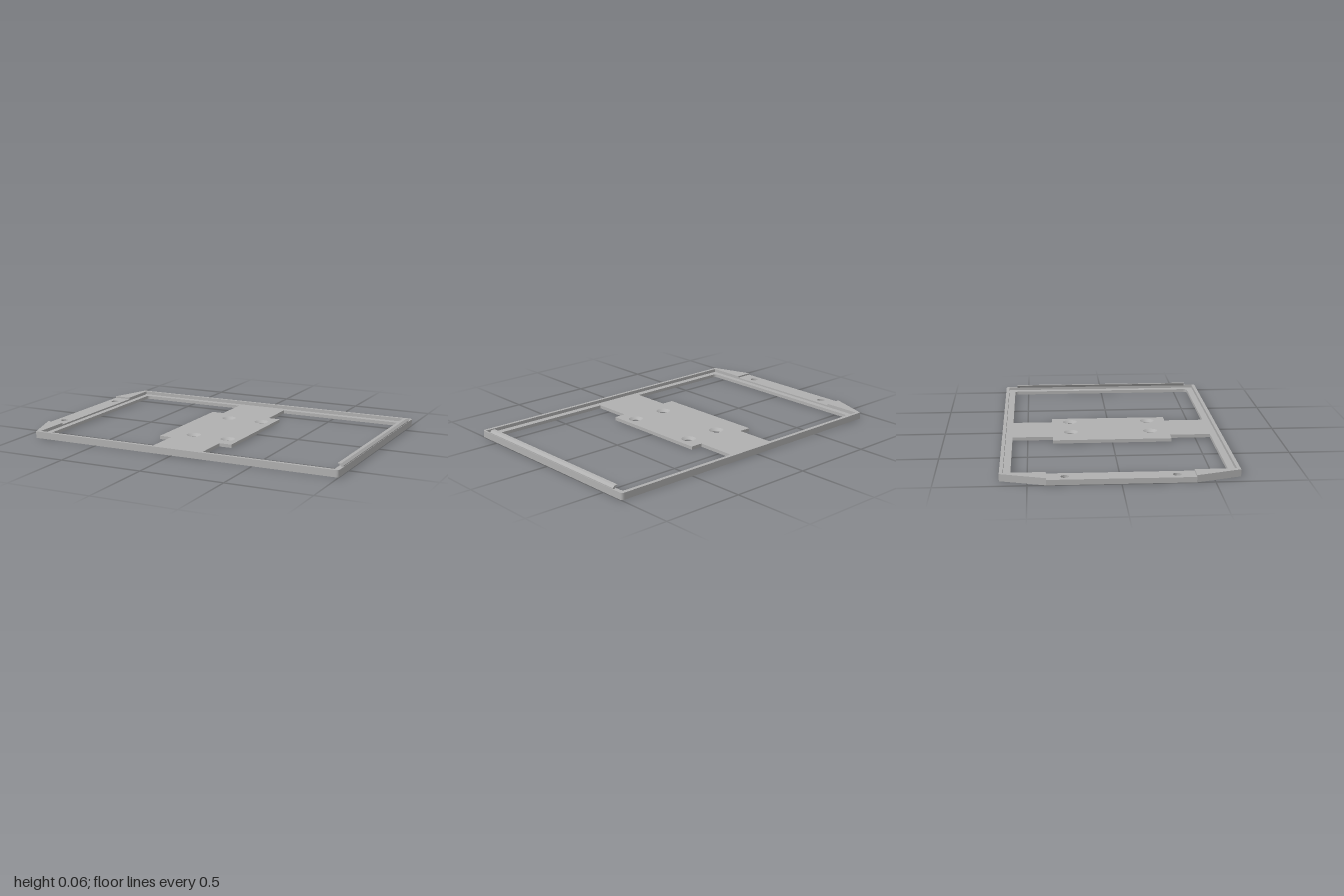
import * as THREE from 'three';

const FLOOR = 0.02, TAB = 0.03, TOP = 0.04;

// Outline with optional corner radius as third value
function trace(path, points) {
  const n = points.length;
  points.forEach(([x, y, r = 0], i) => {
    const p = new THREE.Vector2(x, y);
    const toward = (q) => new THREE.Vector2(q[0], q[1]).sub(p).setLength(r).add(p);
    const a = toward(points[(i + n - 1) % n]), b = toward(points[(i + 1) % n]);
    if (i === 0) path.moveTo(a.x, a.y); else path.lineTo(a.x, a.y);
    if (r) path.quadraticCurveTo(x, y, b.x, b.y);
  });
  path.closePath();
  return path;
}

function circle(x, y, r) {
  return new THREE.Path().absarc(x, y, r, 0, Math.PI * 2, true);
}

function hexagon(x, y, r) {
  return trace(new THREE.Path(), Array.from({ length: 6 }, (_, i) =>
    [x + r * Math.cos(i * Math.PI / 3), y + r * Math.sin(i * Math.PI / 3)]));
}

// Horizontal slab between two heights
function slab(points, holes, y0, y1) {
  const shape = trace(new THREE.Shape(), points);
  shape.holes.push(...holes);
  const g = new THREE.ExtrudeGeometry(shape, { depth: y1 - y0, bevelEnabled: false, curveSegments: 16 });
  return g.rotateX(-Math.PI / 2).translate(0, y0, 0);
}

export function createModel() {
  const model = new THREE.Group();
  model.name = 'mountingFrame';
  const grey = new THREE.MeshStandardMaterial({ color: 0xb0b0b0 });
  grey.name = 'grey';
  const add = (name, geometry) => {
    const mesh = new THREE.Mesh(geometry, grey);
    mesh.name = name;
    model.add(mesh);
    return mesh;
  };

  const outline = [[-1, -0.4], [-0.915, -0.65], [1, -0.65, 0.02], [1, 0.65, 0.02], [-0.915, 0.65], [-1, 0.4]];

  // Two windows, each stepping around the central plate
  const windowHole = (outer, neck, plate) => trace(new THREE.Path(), [
    [outer, -0.59, 0.025], [neck, -0.59], [neck, -0.35], [plate, -0.35],
    [plate, 0.35], [neck, 0.35], [neck, 0.59], [outer, 0.59, 0.025],
  ]);
  const screws = [-0.07, 0.155].flatMap((x) => [-0.24, 0.24].map((z) => [x, z]));
  const tabHoles = [[-0.947, -0.3], [-0.947, 0.3]];

  // Floor: ledge, central plate and tab underside
  add('basePlate', slab(outline, [
    windowHole(-0.86, -0.165, -0.24),
    windowHole(0.945, 0.155, 0.23),
    ...screws.map(([x, z]) => circle(x, z, 0.043)),
    ...tabHoles.map(([x, z]) => hexagon(x, z, 0.04)),
  ], 0, FLOOR));

  // Countersunk screw seats in the central plate
  const seat = [[0.043, FLOOR], [0.023, 0.006], [0.023, 0.006], [0.023, 0], [0.023, 0], [0.043, 0]]
    .map(([r, y]) => new THREE.Vector2(r, y));
  for (const [x, z] of screws) {
    add('screwSeat', new THREE.LatheGeometry(seat, 32)).position.set(x, 0, z);
  }

  // Lower rim course with the tab holes
  const recess = trace(new THREE.Path(), [[-0.895, -0.63], [0.99, -0.63], [0.99, 0.63], [-0.895, 0.63]]);
  add('lowerRim', slab(outline, [recess, ...tabHoles.map(([x, z]) => circle(x, z, 0.023))], FLOOR, TAB));

  // Upper rim course, left open over the middle of the tab
  add('upperRim', slab([
    ...outline, [-0.895, 0.4], [-0.895, 0.63], [0.99, 0.63], [0.99, -0.63], [-0.895, -0.63], [-0.895, -0.4],
  ], [], TAB, TOP));

  // Hooked retaining lip along the right-hand end
  const lip = trace(new THREE.Shape(), [
    [0.988, 0.037], [0.998, 0.037], [0.998, 0.046], [0.985, 0.057], [0.967, 0.059], [0.967, 0.055], [0.98, 0.049],
  ]);
  add('retainingLip', new THREE.ExtrudeGeometry(lip, { depth: 1.15, bevelEnabled: false }).translate(0, 0, -0.575));

  return model;
}
